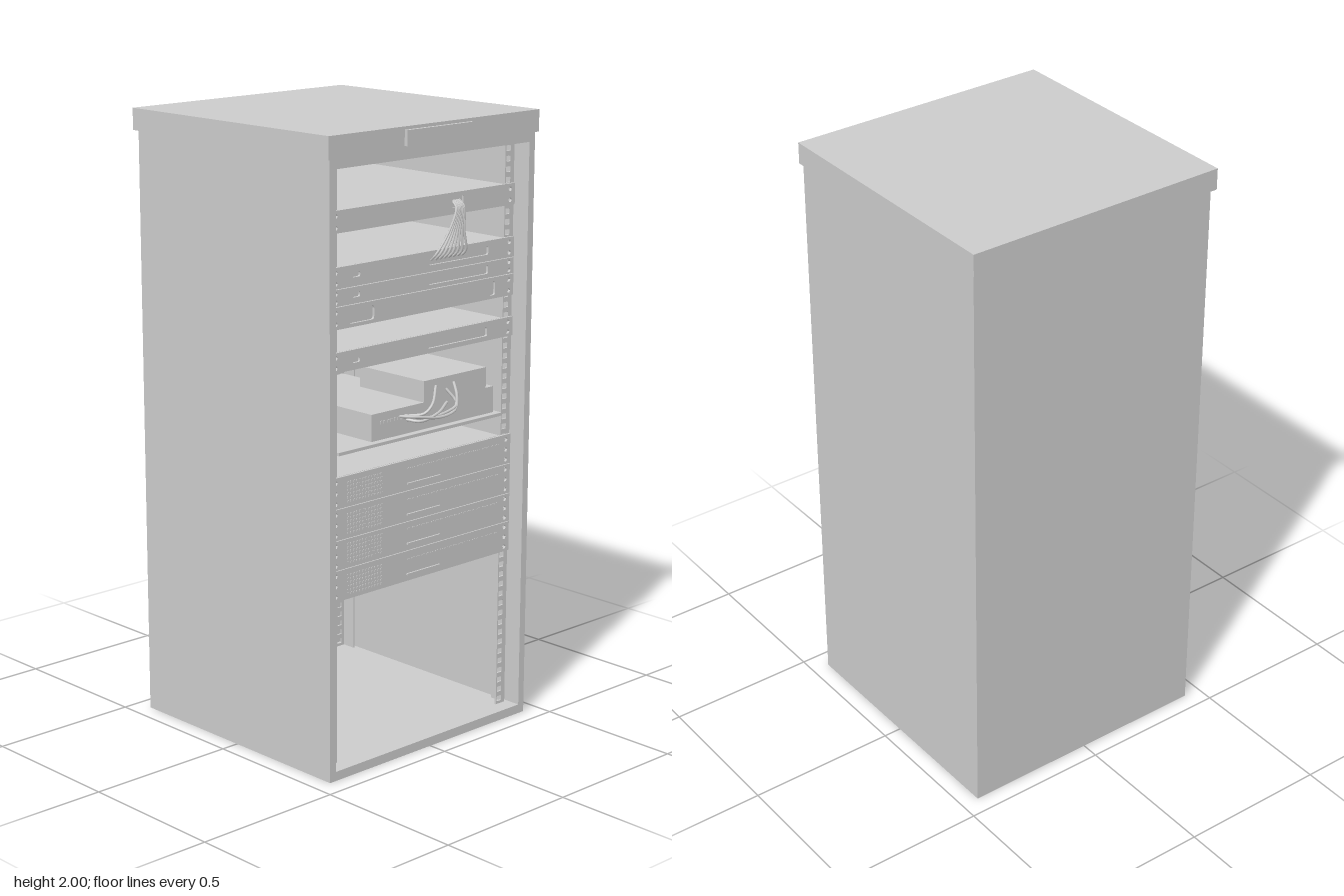
import * as THREE from 'three';
import { mergeGeometries } from 'three/addons/utils/BufferGeometryUtils.js';

const grey = new THREE.MeshStandardMaterial({ color: 0xcccccc, side: THREE.DoubleSide });

// Box geometry given by its limits on each axis
function slab(x0, x1, y0, y1, z0, z1) {
  return new THREE.BoxGeometry(x1 - x0, y1 - y0, z1 - z0)
    .translate((x0 + x1) / 2, (y0 + y1) / 2, (z0 + z1) / 2);
}

function add(parent, name, ...geometries) {
  const geometry = geometries.length > 1
    ? mergeGeometries(geometries.map(g => (g.index ? g.toNonIndexed() : g)))
    : geometries[0];
  const mesh = new THREE.Mesh(geometry, grey);
  mesh.name = name;
  parent.add(mesh);
  return mesh;
}

// Rectangle outline with rounded corners, usable as a shape or a hole
function rounded(path, x0, x1, y0, y1, r) {
  path.moveTo(x0 + r, y0);
  path.lineTo(x1 - r, y0);
  path.quadraticCurveTo(x1, y0, x1, y0 + r);
  path.lineTo(x1, y1 - r);
  path.quadraticCurveTo(x1, y1, x1 - r, y1);
  path.lineTo(x0 + r, y1);
  path.quadraticCurveTo(x0, y1, x0, y1 - r);
  path.lineTo(x0, y0 + r);
  path.quadraticCurveTo(x0, y0, x0 + r, y0);
  return path;
}

function rectShape(x0, x1, y0, y1) {
  return new THREE.Shape([[x0, y0], [x1, y0], [x1, y1], [x0, y1]].map(p => new THREE.Vector2(...p)));
}

function plate(shape, z0, depth) {
  return new THREE.ExtrudeGeometry(shape, { depth, bevelEnabled: false, curveSegments: 3 }).translate(0, 0, z0);
}

// Faceplate with mounting ears and cut-outs, in front of a closed body
function device(parent, name, y0, y1, cutouts = [], depth = 0.72) {
  const unit = new THREE.Group();
  unit.name = name;
  const face = rectShape(-0.398, 0.398, y0 + 0.001, y1 - 0.001);
  const rows = Math.max(2, Math.round((y1 - y0) / 0.033));
  for (const side of [-1, 1]) {
    for (let i = 0; i < rows; i++) {
      const hole = new THREE.Path();
      hole.absarc(side * 0.376, y0 + (y1 - y0) * (i + 0.5) / rows, 0.008, 0, Math.PI * 2);
      face.holes.push(hole);
    }
  }
  for (const [a, b, c, d, r] of cutouts) face.holes.push(rounded(new THREE.Path(), a, b, c, d, r));
  add(unit, 'faceplate', plate(face, 0.386, 0.008));
  add(unit, 'body', slab(-0.358, 0.358, y0 + 0.002, y1 - 0.002, 0.38 - depth, 0.382));
  parent.add(unit);
  return unit;
}

function cable(parent, name, points, radius = 0.004) {
  const curve = new THREE.CatmullRomCurve3(points.map(p => new THREE.Vector3(...p)));
  add(parent, name, new THREE.TubeGeometry(curve, 16, radius, 6));
}

export function createModel() {
  const cabinet = new THREE.Group();
  cabinet.name = 'rackCabinet';

  // Shell: open at the front
  add(cabinet, 'leftWall', slab(0.415, 0.44, 0, 1.93, -0.44, 0.436));
  add(cabinet, 'rightWall', slab(-0.44, -0.415, 0, 1.93, -0.44, 0.436));
  add(cabinet, 'backWall', slab(-0.415, 0.415, 0, 1.93, -0.44, -0.415));
  add(cabinet, 'floor', slab(-0.415, 0.415, 0, 0.03, -0.415, 0.436));
  add(cabinet, 'ceiling', slab(-0.415, 0.415, 1.9, 1.93, -0.415, 0.436));
  add(cabinet, 'cap', slab(-0.45, 0.45, 1.93, 2, -0.455, 0.443));
  add(cabinet, 'capPlate', slab(-0.142, 0.142, 1.942, 1.99, 0.443, 0.455));

  // Punched mounting rails in all four corners
  for (const side of [-1, 1]) {
    const inner = side * 0.362, outer = side * 0.4;
    const strip = rectShape(Math.min(inner, outer), Math.max(inner, outer), 0.03, 1.9);
    for (let i = 0; i < 56; i++) {
      const y = 0.048 + i * 0.0333;
      strip.holes.push(rounded(new THREE.Path(), side * 0.376 - 0.01, side * 0.376 + 0.01, y - 0.009, y + 0.009, 0.002));
    }
    const edge = side * 0.4;
    const flange = (z0, z1) => slab(edge - 0.003, edge + 0.003, 0.03, 1.9, z0, z1);
    add(cabinet, 'frontRail', plate(strip, 0.378, 0.006), flange(0.33, 0.384));
    add(cabinet, 'rearRail', plate(strip, -0.39, 0.006), flange(-0.39, -0.336));
  }

  // Slim units with a pill-shaped button and a long slot
  const slots = y => [[-0.308, -0.276, y - 0.008, y + 0.008, 0.006], [0.015, 0.28, y - 0.014, y + 0.014, 0.006]];
  const patch = device(cabinet, 'patchUnit', 1.7, 1.77, [[0.115, 0.165, 1.72, 1.756, 0.003]]);
  device(cabinet, 'switchUnit', 1.533, 1.6, slots(1.569));
  device(cabinet, 'switchUnit', 1.48, 1.533, slots(1.508));
  device(cabinet, 'displayUnit', 1.41, 1.48, [[-0.322, -0.217, 1.422, 1.465, 0.01], [0.29, 0.314, 1.422, 1.465, 0.006]]);
  device(cabinet, 'switchUnit', 1.278, 1.342, slots(1.308));

  // Fan of cables dropping from the patch socket to the slot below
  for (let i = 0; i < 8; i++) {
    const t = i / 7;
    const x = 0.035 + t * 0.135;
    cable(patch, 'patchCable', [
      [0.12 + t * 0.035, 1.742, 0.384],
      [0.122 + t * 0.034, 1.725, 0.404],
      [0.085 + t * 0.07, 1.65, 0.408],
      [x, 1.585, 0.402],
      [x, 1.568, 0.384],
    ]);
  }

  // Shelf carrying two stacked boxes
  const shelf = new THREE.Group();
  shelf.name = 'shelf';
  cabinet.add(shelf);
  add(shelf, 'tray', slab(-0.36, 0.36, 1.02, 1.03, -0.35, 0.39));
  add(shelf, 'wideBox', slab(-0.2, 0.343, 1.03, 1.116, 0, 0.366));
  add(shelf, 'smallBox', slab(0.027, 0.308, 1.116, 1.184, 0.08, 0.366));
  const lights = [];
  for (let i = 0; i < 7; i++) {
    lights.push(slab(-0.164 + i * 0.015, -0.156 + i * 0.015, 1.08, 1.09, 0.366, 0.369));
  }
  add(shelf, 'indicatorLights', ...lights);
  cable(shelf, 'loopCable', [[-0.08, 1.09, 0.366], [-0.03, 1.085, 0.4], [0.06, 1.072, 0.41], [0.13, 1.085, 0.405], [0.145, 1.125, 0.395], [0.16, 1.16, 0.366]], 0.005);
  cable(shelf, 'loopCable', [[-0.06, 1.09, 0.366], [0, 1.078, 0.4], [0.09, 1.082, 0.405], [0.14, 1.1, 0.4], [0.125, 1.145, 0.366]], 0.005);
  cable(shelf, 'loopCable', [[-0.04, 1.085, 0.366], [0, 1.09, 0.395], [0.03, 1.115, 0.4], [0.08, 1.16, 0.366]], 0.005);
  cable(shelf, 'loopCable', [[-0.05, 1.075, 0.366], [-0.02, 1.07, 0.4], [0.05, 1.085, 0.405], [0.13, 1.1, 0.366]], 0.005);

  // Four servers with vent grilles, a handle lip and a row of small vents
  const levels = [0.56, 0.66, 0.755, 0.855, 0.955];
  for (let i = 0; i < 4; i++) {
    const y0 = levels[i], y1 = levels[i + 1];
    const server = device(cabinet, 'server', y0, y1);
    const grille = [];
    for (let c = 0; c < 12; c++) {
      for (let r = 0; r < 6; r++) {
        const x = -0.33 + c * 0.013, y = y0 + 0.015 + r * 0.012;
        grille.push(slab(x, x + 0.007, y, y + 0.006, 0.394, 0.396));
      }
    }
    add(server, 'ventGrille', ...grille);
    add(server, 'handleLip', slab(-0.073, 0.073, y0 + 0.021, y0 + 0.026, 0.394, 0.4));
    const vents = [];
    for (let c = 0; c < 20; c++) vents.push(slab(-0.07 + c * 0.021, -0.057 + c * 0.021, y0 + 0.07, y0 + 0.074, 0.394, 0.396));
    add(server, 'ventRow', ...vents);
  }
  return cabinet;
}
